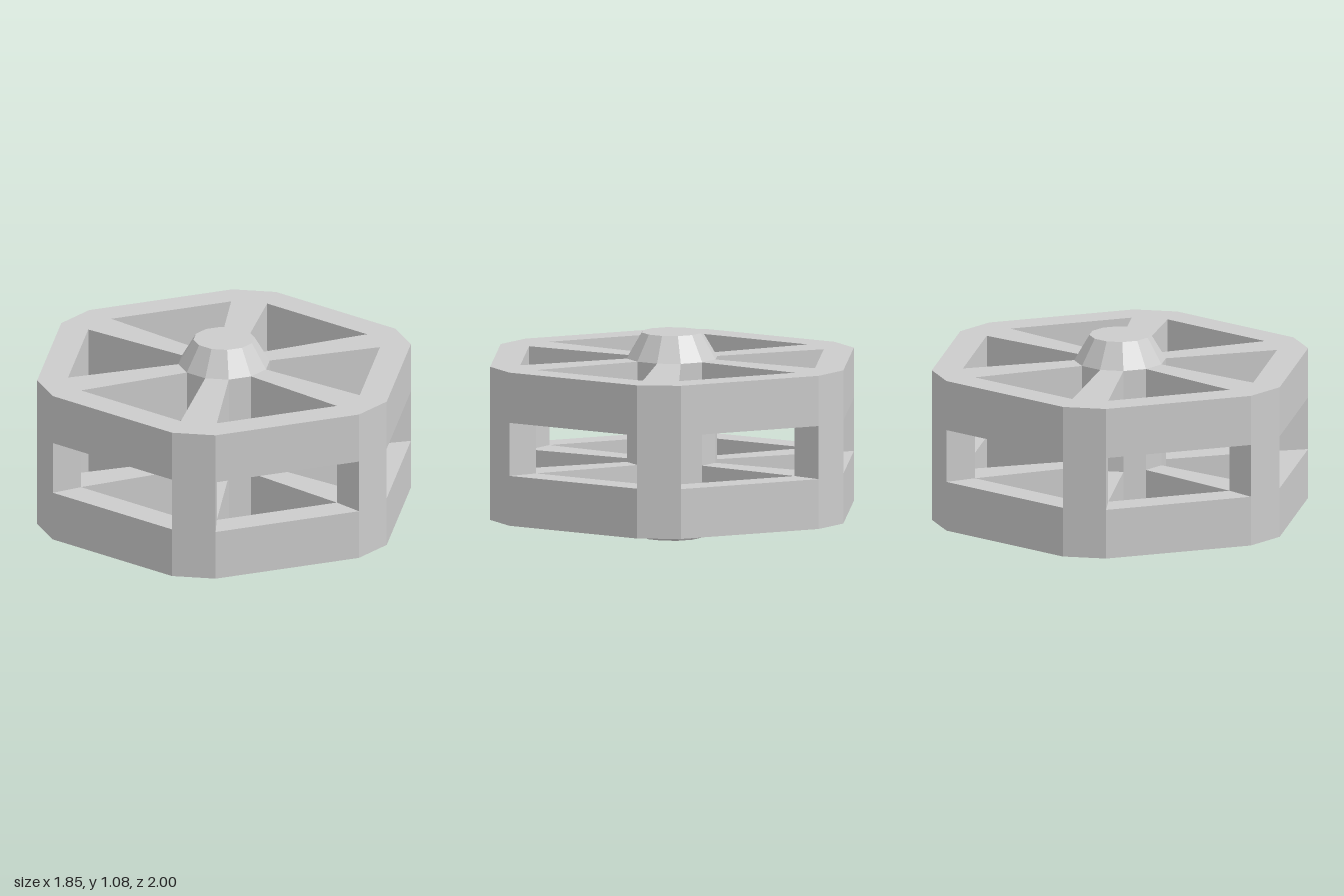
import * as THREE from 'three';

const material = new THREE.MeshStandardMaterial({ color: 0xcccccc, flatShading: true });
const STEP = Math.PI / 3;
const HUB_R = 0.24, CAP_R = 0.16;
const HUB_A = Math.PI / 12;                 // half angle of one hub facet
const OUT_R = Math.hypot(0.115, 1), OUT_A = Math.atan2(0.115, 1);
const IN_R = Math.hypot(0.095, 0.835), IN_A = Math.atan2(0.095, 0.835);
const LEVELS = [0, 0.137, 0.4, 0.68, 0.945, 1.08];

// Point at a radius and an angle from the front spoke
const polar = (r, a) => new THREE.Vector2(r * Math.sin(a), r * Math.cos(a));

function addMesh(group, name, geometry) {
  const mesh = new THREE.Mesh(geometry, material);
  mesh.name = name;
  group.add(mesh);
}

// Flat shape extruded upwards between two heights
function slab(shape, y0, y1) {
  const geometry = new THREE.ExtrudeGeometry(shape, { depth: y1 - y0, bevelEnabled: false });
  return geometry.rotateX(-Math.PI / 2).translate(0, y0, 0);
}

// Twelve-sided hub section
function hubSection(topR, bottomR, y0, y1, open) {
  return new THREE.CylinderGeometry(topR, bottomR, y1 - y0, 12, 1, open, HUB_A)
    .translate(0, (y0 + y1) / 2, 0);
}

// Chamfered hexagon with a tapered opening between each pair of spokes;
// the openings run opposite to the outline so their walls face inwards
function wheelShape() {
  const outline = [], holes = [];
  for (let i = 0; i < 6; i++) {
    const a = i * STEP, b = a + STEP;
    outline.push(polar(OUT_R, a - OUT_A), polar(OUT_R, a + OUT_A));
    holes.push(new THREE.Path([
      polar(HUB_R, b - HUB_A), polar(IN_R, b - IN_A),
      polar(IN_R, a + IN_A), polar(HUB_R, a + HUB_A),
    ]));
  }
  const shape = new THREE.Shape(outline);
  shape.holes = holes;
  return shape;
}

export function createModel() {
  const model = new THREE.Group();
  model.name = 'spokedWheel';
  const [base, lowerBottom, lowerTop, upperBottom, upperTop, tip] = LEVELS;

  // Two spoked plates
  addMesh(model, 'lowerSpokedPlate', slab(wheelShape(), lowerBottom, lowerTop));
  addMesh(model, 'upperSpokedPlate', slab(wheelShape(), upperBottom, upperTop));

  // Corner posts joining the plates
  for (let i = 0; i < 6; i++) {
    const a = i * STEP;
    const post = new THREE.Shape([
      polar(OUT_R, a - OUT_A), polar(OUT_R, a + OUT_A),
      polar(IN_R, a + IN_A), polar(IN_R, a - IN_A),
    ]);
    addMesh(model, `cornerPost${i + 1}`, slab(post, lowerTop, upperBottom));
  }

  // Hub column and its tapered ends
  addMesh(model, 'hubColumn', hubSection(HUB_R, HUB_R, lowerTop, upperBottom, true));
  addMesh(model, 'upperHubCap', hubSection(CAP_R, HUB_R, upperTop, tip, false));
  addMesh(model, 'lowerHubCap', hubSection(HUB_R, CAP_R, base, lowerBottom, false));

  return model;
}
